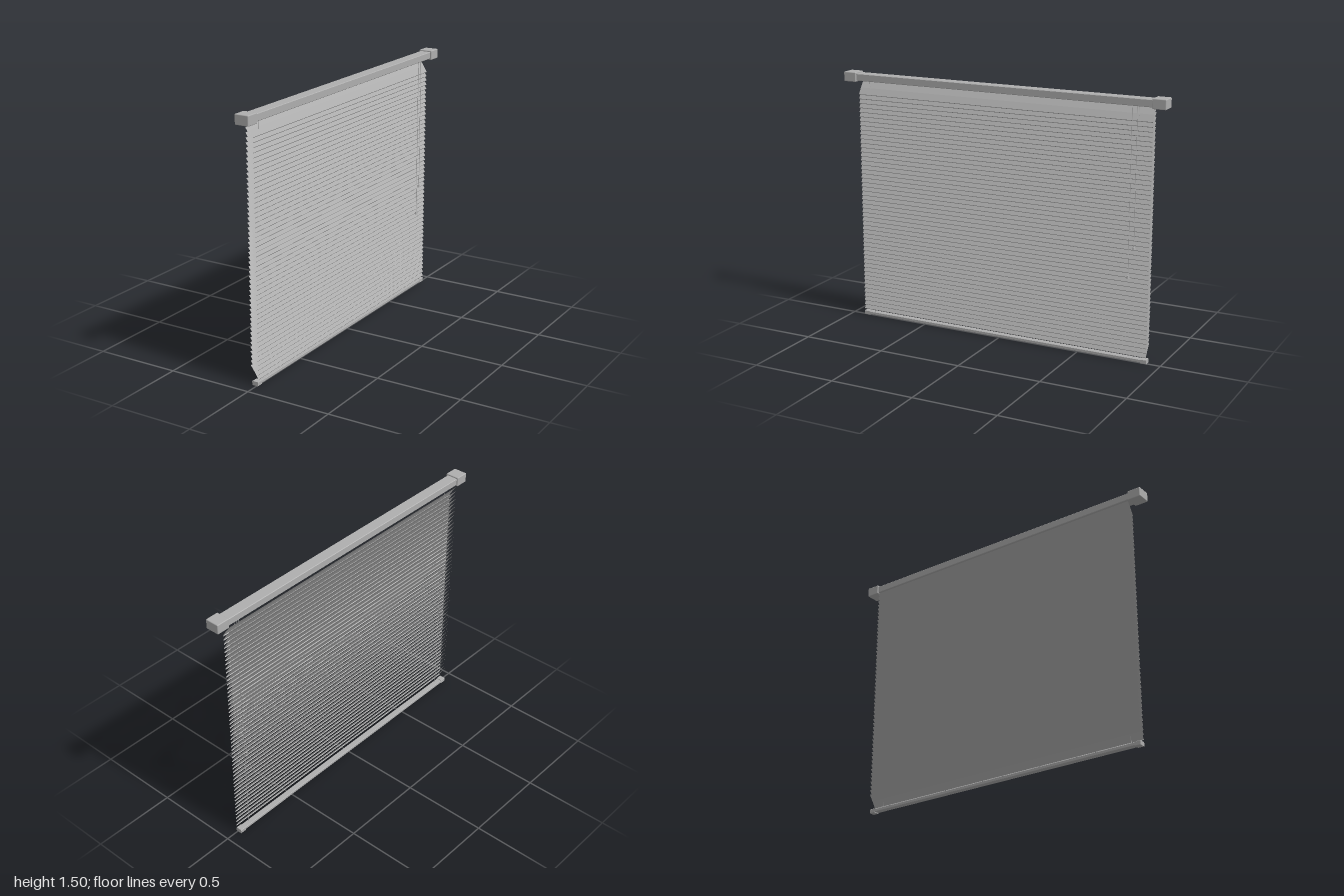
import * as THREE from 'three';
import { RoundedBoxGeometry } from 'three/addons/geometries/RoundedBoxGeometry.js';

const grey = new THREE.MeshStandardMaterial({ color: 0xaeaeae });
const sheet = new THREE.MeshStandardMaterial({ color: 0xaeaeae, side: THREE.DoubleSide });

// Bar running along z with a chamfered x-y section
function bar(name, x0, x1, y0, y1, z0, z1, c) {
  const s = new THREE.Shape([
    [x0 + c, y0], [x1 - c, y0], [x1, y0 + c], [x1, y1 - c],
    [x1 - c, y1], [x0 + c, y1], [x0, y1 - c], [x0, y0 + c],
  ].map(([x, y]) => new THREE.Vector2(x, y)));
  const g = new THREE.ExtrudeGeometry(s, { depth: z1 - z0, bevelEnabled: false });
  const m = new THREE.Mesh(g.translate(0, 0, z0), grey);
  m.name = name;
  return m;
}

// Vertical round cord
function cord(name, x, z, y0, y1, r) {
  const m = new THREE.Mesh(new THREE.CylinderGeometry(r, r, y1 - y0, 8), grey);
  m.position.set(x, (y0 + y1) / 2, z);
  m.name = name;
  return m;
}

// Thin slat sloping down towards +x, with a small lip folded under its lower edge
function slatGeometry(length) {
  const profile = [[-0.036, 0.038], [-0.01, 0.002], [0.012, -0.034], [0.009, -0.038]];
  const g = new THREE.PlaneGeometry(1, length, profile.length - 1, 1);
  g.rotateX(-Math.PI / 2);
  const p = g.attributes.position;
  for (let i = 0; i < p.count; i++) {
    const [x, y] = profile[i % profile.length];
    p.setXYZ(i, x, y, p.getZ(i));
  }
  const flat = g.toNonIndexed();
  flat.computeVertexNormals();
  return flat;
}

export function createModel() {
  const model = new THREE.Group();
  const half = 0.92;

  // Head rail and its end brackets
  model.add(bar('headRail', -0.035, 0.033, 1.45, 1.492, -half, half, 0.003));
  for (const s of [-1, 1]) {
    const m = new THREE.Mesh(new RoundedBoxGeometry(0.084, 0.057, 0.08, 2, 0.005), grey);
    m.position.set(0, 1.4715, s * 0.96);
    m.name = 'endBracket';
    model.add(m);
  }

  // Bottom rail with end caps
  model.add(bar('bottomRail', -0.026, 0.008, 0.004, 0.021, -half, half, 0.002));
  for (const s of [-1, 1]) {
    const z = s > 0 ? [0.885, half] : [-half, -0.885];
    model.add(bar('bottomRailCap', -0.028, 0.01, 0, 0.024, ...z, 0.002));
  }

  // Slats
  const slats = new THREE.Group();
  slats.name = 'slats';
  const geo = slatGeometry(half * 2 - 0.004);
  const count = 51;
  for (let i = 0; i < count; i++) {
    const m = new THREE.Mesh(geo, sheet);
    m.name = 'slat';
    m.position.y = 0.074 + (1.328 * i) / (count - 1);
    slats.add(m);
  }
  model.add(slats);

  // Lift cords through the slats
  for (const z of [0.85, -0.835]) model.add(cord('liftCord', -0.003, z, 0.02, 1.455, 0.0013));

  // Hanging pull cords with tassels
  for (const [z, y] of [[-0.802, 0.486], [-0.832, 0.655]]) {
    model.add(cord('pullCord', 0.017, z, y + 0.01, 1.455, 0.0014));
    const t = new THREE.Mesh(new THREE.CylinderGeometry(0.006, 0.009, 0.015, 12), grey);
    t.position.set(0.017, y + 0.0075, z);
    t.name = 'tassel';
    model.add(t);
  }
  return model;
}
